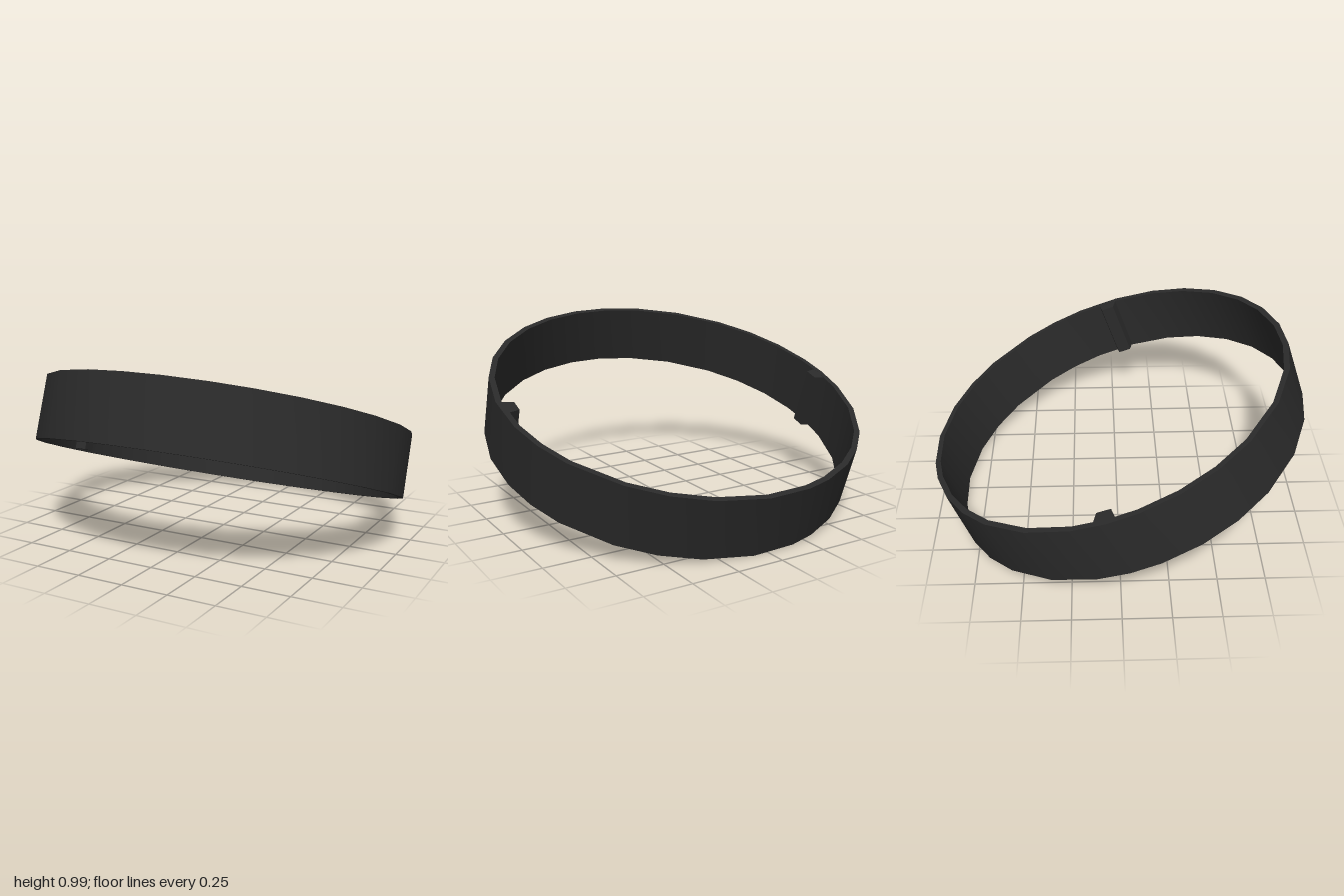
import * as THREE from 'three';
import { toCreasedNormals } from 'three/addons/utils/BufferGeometryUtils.js';

const HEIGHT = 0.34;
const TILT = -0.339;

// Slightly uneven facet angles, in degrees clockwise from the back
const ANGLES = [4.6, 19.7, 32, 44, 60.5, 71, 81.5, 95, 109, 121.4, 134, 146.6, 158.3, 170.8, 182.5,
  195, 210, 225.8, 238, 250, 262, 271, 281, 295, 309.6, 320.5, 331, 342.5, 350.8];

const outline = (radius) => ANGLES.map((deg) => {
  const a = THREE.MathUtils.degToRad(deg);
  return new THREE.Vector2(Math.sin(a) * radius, Math.cos(a) * radius);
});

// Extrude a flat shape upward between two heights
function extrudeUp(shape, bottom, top) {
  const geometry = new THREE.ExtrudeGeometry(shape, { depth: top - bottom, bevelEnabled: false });
  geometry.translate(0, 0, bottom);
  geometry.rotateX(-Math.PI / 2);
  return toCreasedNormals(geometry, Math.PI / 7);
}

export function createModel() {
  const material = new THREE.MeshStandardMaterial({ color: 0x2a2a2a });
  const model = new THREE.Group();
  model.name = 'tiltedRing';

  const ring = new THREE.Group();
  ring.name = 'ring';
  ring.rotation.x = TILT;
  ring.position.set(0, 0.493, -0.002);
  model.add(ring);

  // Thin faceted band; the hole runs the opposite way so its wall faces inward
  const bandShape = new THREE.Shape(outline(1.003));
  bandShape.holes.push(new THREE.Path(outline(0.973).reverse()));
  const band = new THREE.Mesh(extrudeUp(bandShape, -HEIGHT / 2, HEIGHT / 2), material);
  band.name = 'band';
  ring.add(band);

  // Two opposite tapered ribs on the inside wall, each a half turn from the other
  const ribShape = new THREE.Shape([
    new THREE.Vector2(0.91, -0.065), new THREE.Vector2(0.985, -0.085),
    new THREE.Vector2(0.985, 0.025), new THREE.Vector2(0.91, 0.008),
  ]);
  const ribGeometry = extrudeUp(ribShape, -HEIGHT / 2 + 0.01, HEIGHT / 2 - 0.001);
  ['leftRib', 'rightRib'].forEach((name, i) => {
    const rib = new THREE.Mesh(ribGeometry, material);
    rib.name = name;
    rib.rotation.y = i * Math.PI;
    ring.add(rib);
  });

  return model;
}
